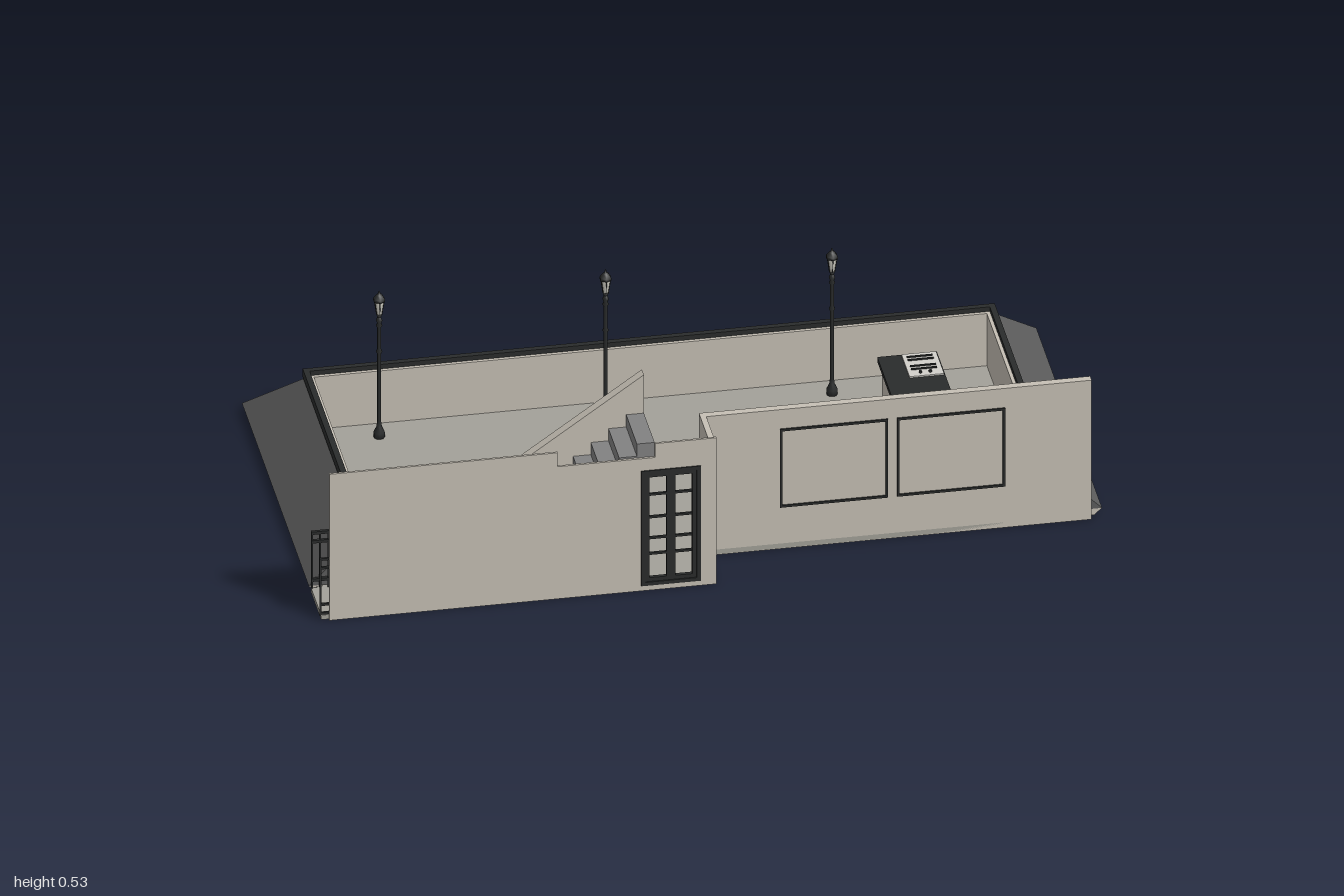
import * as THREE from 'three';

const mat = (name, color, side = THREE.FrontSide) => {
  const m = new THREE.MeshStandardMaterial({ color, side });
  m.name = name;
  return m;
};

export function createModel() {
  const root = new THREE.Group();
  root.name = 'roofTerrace';
  const wallMat = mat('warm plaster', 0xc6c0b5);
  const floorMat = mat('grey floor', 0xa3a199);
  const slate = mat('slate', 0x5c5c5c);
  const black = mat('black metal', 0x2a2c2c);
  const stepMat = mat('stair grey', 0x828282);
  const glass = mat('lamp glass', 0xc9c7bd);
  const steel = mat('pale steel', 0xd2d0ca);

  const add = (name, geo, m, parent = root) => {
    const mesh = new THREE.Mesh(geo, m);
    mesh.name = name;
    parent.add(mesh);
    return mesh;
  };
  const group = (name, x = 0, y = 0, z = 0) => {
    const g = new THREE.Group();
    g.name = name;
    g.position.set(x, y, z);
    root.add(g);
    return g;
  };
  // box given by its limits
  const box = (name, x0, x1, y0, y1, z0, z1, m, parent = root) => {
    const b = add(name, new THREE.BoxGeometry(x1 - x0, y1 - y0, z1 - z0), m, parent);
    b.position.set((x0 + x1) / 2, (y0 + y1) / 2, (z0 + z1) / 2);
    return b;
  };
  const outline = pts => new THREE.Shape(pts.map(p => new THREE.Vector2(p[0], p[1])));
  const extrude = (shape, depth) => new THREE.ExtrudeGeometry(shape, { depth, bevelEnabled: false });

  // sweep a profile of [outward, height] points round the left, back and right sides
  const sweep = (name, prof, m) => {
    const X = 0.865, Z = 0.39, n = prof.length, pos = [];
    const at = (i, j) => {
      const [d, y] = prof[i % n];
      return [(j < 2 ? -1 : 1) * (X + d), y, j === 0 ? 0.38 : j === 3 ? 0.365 : -(Z + d)];
    };
    for (let j = 0; j < 3; j++) for (let i = 0; i < n; i++) {
      const a = at(i, j), b = at(i + 1, j), c = at(i + 1, j + 1), d = at(i, j + 1);
      pos.push(...a, ...b, ...c, ...a, ...c, ...d);
    }
    for (let i = 1; i < n - 1; i++) {
      pos.push(...at(0, 0), ...at(i + 1, 0), ...at(i, 0));
      pos.push(...at(0, 3), ...at(i, 3), ...at(i + 1, 3));
    }
    const g = new THREE.BufferGeometry();
    g.setAttribute('position', new THREE.Float32BufferAttribute(pos, 3));
    g.computeVertexNormals();
    add(name, g, m);
  };

  // floor slab
  const slab = extrude(outline([[-0.98, 0.505], [-0.98, -0.385], [-0.995, -0.385], [-0.995, -0.52],
    [0, -0.52], [0, -0.385], [0.97, -0.385], [0.97, 0.505]]), 0.013);
  slab.rotateX(-Math.PI / 2);
  add('floor', slab, floorMat).position.y = 0.002;

  // sloping skirt, parapet and coping
  sweep('skirtBase', [[0.115, 0], [0.135, 0.018], [0.1, 0.018], [0.1, 0]], wallMat);
  sweep('slopedSkirt', [[0.135, 0.018], [0, 0.155], [0, 0.018]], slate);
  sweep('parapet', [[0, 0.01], [0, 0.165], [-0.018, 0.165], [-0.018, 0.01]], wallMat);
  sweep('coping', [[0.006, 0.154], [0.006, 0.178], [-0.009, 0.178], [-0.009, 0.154]], black);

  // front walls
  box('frontWallRight', 0, 0.97, 0, 0.4, 0.365, 0.385, wallMat);
  box('returnWall', -0.015, 0, 0, 0.4, 0.365, 0.52, wallMat);
  const front = outline([[-0.975, 0], [0, 0], [0, 0.42], [-0.155, 0.42], [-0.155, 0.38],
    [-0.4, 0.38], [-0.4, 0.42], [-0.975, 0.42]]);
  front.holes.push(new THREE.Path([[-0.19, 0.02], [-0.19, 0.345], [-0.04, 0.345], [-0.04, 0.02]]
    .map(p => new THREE.Vector2(p[0], p[1]))));
  add('frontWallLeft', extrude(front, 0.006), wallMat).position.z = 0.518;

  // stairs and their solid balustrade
  const stairs = group('stairs');
  const N = 12, run = 0.535 / N, rise = 0.42 / N;
  for (let i = 0; i < N; i++) {
    const x = -0.69 + i * run;
    box('step', x, x + run, Math.max(0.012, (i - 1) * rise), (i + 1) * rise, 0.368, 0.518, stepMat, stairs);
  }
  add('balustrade', extrude(outline([[-0.69, 0.012], [-0.155, 0.012], [-0.155, 0.53], [-0.69, 0.155]]), 0.027),
    wallMat, stairs).position.z = 0.346;

  // rectangular frame of bars
  const frame = (name, x0, x1, y0, y1, z0, z1, t, parent) => {
    box(name, x0, x0 + t, y0, y1, z0, z1, black, parent);
    box(name, x1 - t, x1, y0, y1, z0, z1, black, parent);
    box(name, x0, x1, y0, y0 + t, z0, z1, black, parent);
    box(name, x0, x1, y1 - t, y1, z0, z1, black, parent);
  };

  // glazed double door
  const door = group('door');
  frame('doorFrame', -0.19, -0.04, 0.015, 0.345, 0.512, 0.527, 0.01, door);
  for (const x of [-0.18, -0.115]) {
    frame('doorLeaf', x, x + 0.065, 0.025, 0.335, 0.514, 0.524, 0.011, door);
    for (const y of [0.1, 0.145, 0.205, 0.27]) box('glazingBar', x, x + 0.065, y, y + 0.006, 0.516, 0.522, black, door);
  }

  // windows, framed on both faces
  const windows = group('windows');
  for (const x of [0.185, 0.48]) {
    frame('outerFrame', x, x + 0.272, 0.12, 0.345, 0.385, 0.389, 0.006, windows);
    frame('innerFrame', x, x + 0.272, 0.12, 0.345, 0.358, 0.365, 0.01, windows);
    box('middleRail', x, x + 0.272, 0.23, 0.233, 0.363, 0.365, black, windows);
  }
  box('lintel', 0.17, 0.77, 0.35, 0.365, 0.357, 0.365, wallMat, windows);
  box('sill', 0.17, 0.77, 0.105, 0.115, 0.357, 0.365, wallMat, windows);

  // lantern standing on y = 0, shared by posts and wall lamps
  const lathe = (pts, sides) => new THREE.LatheGeometry(pts.map(p => new THREE.Vector2(p[0], p[1])), sides);
  const lantern = (parent, y, s) => {
    const g = new THREE.Group();
    g.name = 'lantern';
    g.position.y = y;
    g.scale.setScalar(s);
    parent.add(g);
    add('lampGlass', lathe([[0, 0.002], [0.007, 0.002], [0.013, 0.042], [0, 0.042]], 6), glass, g);
    add('lampFoot', lathe([[0, -0.008], [0.004, -0.008], [0.009, 0.003], [0, 0.003]], 6), black, g);
    add('lampCap', lathe([[0, 0.04], [0.016, 0.04], [0.015, 0.047], [0.007, 0.058], [0.003, 0.06], [0.003, 0.064], [0, 0.07]], 6), black, g);
    for (let i = 0; i < 6; i++) {
      const a = i * Math.PI / 3;
      const path = new THREE.LineCurve3(new THREE.Vector3(Math.sin(a) * 0.007, 0.001, Math.cos(a) * 0.007),
        new THREE.Vector3(Math.sin(a) * 0.0135, 0.042, Math.cos(a) * 0.0135));
      add('lampBar', new THREE.TubeGeometry(path, 1, 0.001, 4), black, g);
    }
  };

  // lamp posts
  for (const x of [-0.695, -0.125, 0.445]) {
    const post = group('lampPost', x, 0, -0.307);
    add('pole', lathe([[0, 0.012], [0.014, 0.012], [0.014, 0.03], [0.007, 0.045], [0.005, 0.06], [0.005, 0.255],
      [0.008, 0.26], [0.005, 0.268], [0.005, 0.33], [0.008, 0.335], [0.005, 0.342], [0.008, 0.35], [0.004, 0.362], [0, 0.362]], 10), black, post);
    lantern(post, 0.366, 1);
  }

  // wall lamps on scrolled brackets
  for (const [x, z] of [[0.075, 0.365], [0.86, 0.365], [-0.76, 0.518]]) {
    const lamp = group('wallLamp', x, 0, z);
    box('backPlate', -0.008, 0.008, 0.265, 0.335, -0.004, 0, black, lamp);
    const arm = new THREE.CatmullRomCurve3([[0.275, -0.003], [0.262, -0.012], [0.275, -0.025]]
      .map(p => new THREE.Vector3(0, p[0], p[1])));
    add('bracket', new THREE.TubeGeometry(arm, 10, 0.0018, 5), black, lamp);
    const hook = new THREE.CatmullRomCurve3([[0.315, -0.003], [0.338, -0.008], [0.343, -0.018], [0.328, -0.025]]
      .map(p => new THREE.Vector3(0, p[0], p[1])));
    add('hook', new THREE.TubeGeometry(hook, 10, 0.0018, 5), black, lamp);
    const head = new THREE.Group();
    head.name = 'lampHead';
    head.position.z = -0.025;
    lamp.add(head);
    lantern(head, 0.276, 0.8);
  }

  // kitchen counter with grill, sink and tap
  const counter = group('counter');
  box('counterBody', 0.55, 0.685, 0.012, 0.158, -0.198, 0.188, wallMat, counter);
  box('counterTop', 0.54, 0.69, 0.157, 0.17, -0.205, 0.195, black, counter);
  box('grillPlate', 0.6, 0.687, 0.17, 0.174, -0.2, -0.09, steel, counter);
  for (const z of [-0.185, -0.17, -0.14, -0.125]) box('grillBar', 0.61, 0.675, 0.174, 0.177, z, z + 0.005, black, counter);
  for (const x of [0.63, 0.655]) add('grillKnob', new THREE.CylinderGeometry(0.004, 0.004, 0.006, 8), black, counter).position.set(x, 0.176, -0.105);
  box('sink', 0.62, 0.682, 0.17, 0.173, 0.108, 0.172, steel, counter);
  const tap = new THREE.CatmullRomCurve3([[0.172, 0.183], [0.2, 0.183], [0.216, 0.176], [0.221, 0.165], [0.216, 0.153], [0.205, 0.147], [0.19, 0.147]]
    .map(p => new THREE.Vector3(0.65, p[0], p[1])));
  add('tap', new THREE.TubeGeometry(tap, 20, 0.0025, 6), slate, counter);

  // railing at the open left corner
  const railing = group('railing');
  for (const y of [0.035, 0.145, 0.17]) box('rail', -0.995, -0.865, y, y + 0.008, 0.382, 0.39, black, railing);
  for (let i = 0; i < 7; i++) {
    const x = -0.995 + i * 0.0205;
    box('baluster', x, x + 0.004, 0.012, 0.175, 0.384, 0.388, black, railing);
  }
  for (const y of [0.015, 0.04, 0.145, 0.17]) box('gateRail', -0.998, -0.97, y, y + 0.006, 0.512, 0.518, black, railing);
  box('gatePost', -0.998, -0.993, 0.012, 0.176, 0.512, 0.518, black, railing);

  return root;
}
